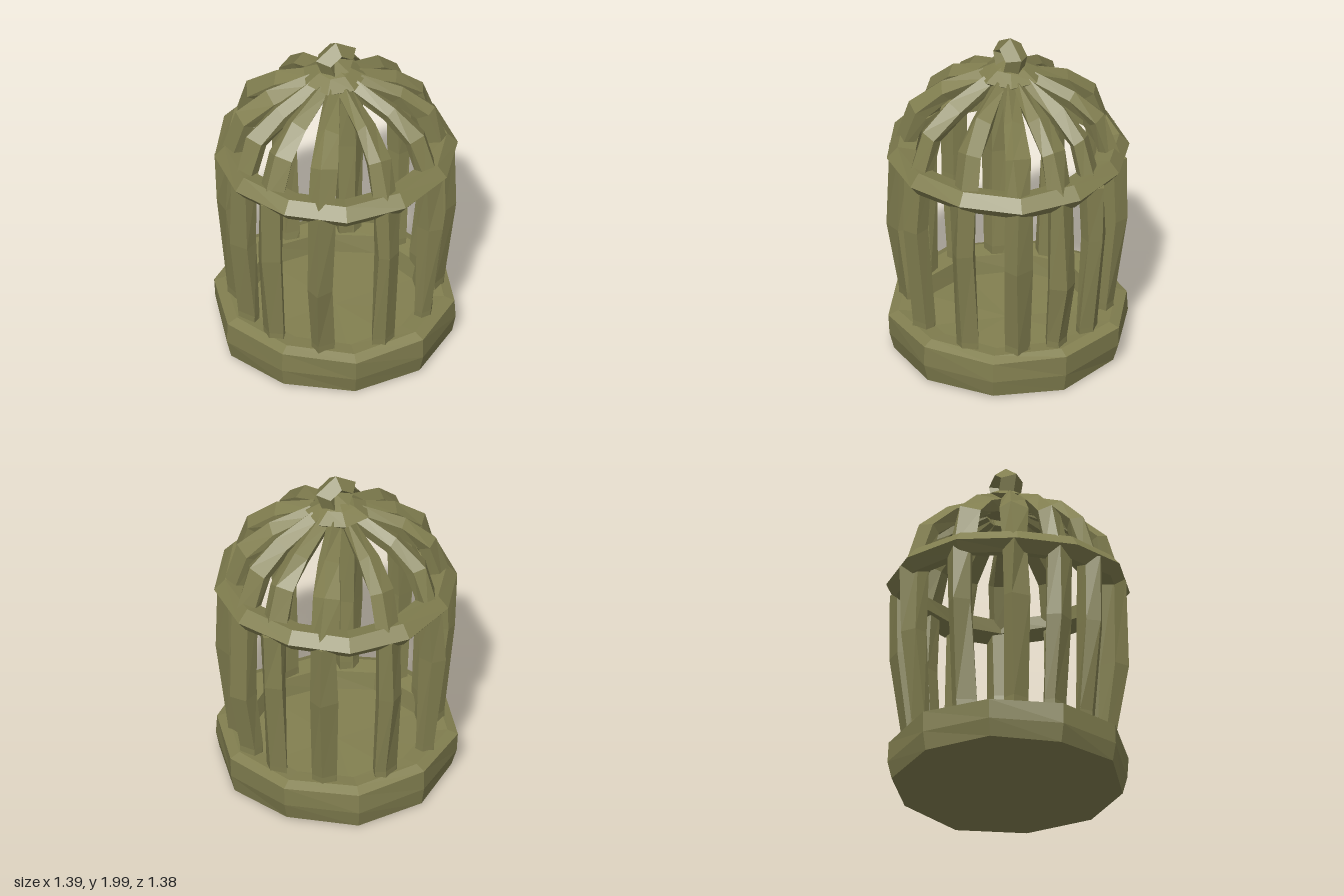
import * as THREE from 'three';

const material = new THREE.MeshStandardMaterial({ color: 0x827f50, flatShading: true, side: THREE.DoubleSide });

// small seeded generator for the hand-hewn irregularity
let seed = 7;
const wobble = (amount) => {
  seed = (seed * 16807) % 2147483647;
  return (seed / 2147483647 - 0.5) * 2 * amount;
};

// five-sided section with an outer ridge: u points outward from the cage, v runs sideways
const SECTION = [[0.5, 0.1], [0.1, 0.5], [-0.45, 0.3], [-0.45, -0.3], [0.1, -0.5]];

// path entries: [radius, y, outward normal r, outward normal y, depth, width]
function strut(path, jitter) {
  const n = SECTION.length;
  const positions = [];
  const index = [];
  path.forEach(([r, y, nr, ny, depth, width]) => {
    const len = Math.hypot(nr, ny);
    for (const [u, v] of SECTION) {
      const d = (u * depth) / len;
      positions.push(r + nr * d + wobble(jitter), y + ny * d, v * width + wobble(jitter));
    }
  });
  for (let i = 0; i < path.length - 1; i++) {
    for (let j = 0; j < n; j++) {
      const a = i * n + j, b = i * n + (j + 1) % n;
      index.push(a, a + n, b, b, a + n, b + n);
    }
  }
  // closed ends
  const last = (path.length - 1) * n;
  for (let j = 1; j < n - 1; j++) {
    index.push(0, j, j + 1, last, last + j + 1, last + j);
  }
  const geometry = new THREE.BufferGeometry();
  geometry.setAttribute('position', new THREE.Float32BufferAttribute(positions, 3));
  geometry.setIndex(index);
  geometry.computeVertexNormals();
  return geometry;
}

// faceted ring or dish, made slightly uneven by a rule that repeats around the circle
function unevenLathe(profile, sides, spread, lift, turn) {
  const geometry = new THREE.LatheGeometry(profile.map(([r, y]) => new THREE.Vector2(r, y)), sides);
  const p = geometry.attributes.position;
  for (let i = 0; i < p.count; i++) {
    const x = p.getX(i), y = p.getY(i), z = p.getZ(i);
    const a = Math.atan2(x, z);
    const k = 1 + spread * Math.sin(3 * a + 9 * y);
    const edge = Math.hypot(x, z) > 0.3 ? lift : 0;
    p.setXYZ(i, x * k, y + edge * Math.sin(4 * a + 5 * y), z * k);
  }
  geometry.rotateY(turn);
  geometry.computeVertexNormals();
  return geometry;
}

export function createModel() {
  const group = new THREE.Group();
  const add = (name, geometry) => {
    const mesh = new THREE.Mesh(geometry, material);
    mesh.name = name;
    group.add(mesh);
    return mesh;
  };

  // dished floor with a thick, nearly straight rim
  add('base', unevenLathe(
    [[0, 0.01], [0.665, 0.015], [0.69, 0.12], [0.69, 0.24], [0.63, 0.265], [0.52, 0.25], [0.5, 0.14], [0, 0.14]],
    10, 0.01, 0.01, 0.3));

  // band joining the bars to the dome
  add('middleRing', unevenLathe(
    [[0.53, 1.22], [0.64, 1.19], [0.695, 1.255], [0.635, 1.325], [0.53, 1.3], [0.53, 1.22]],
    12, 0.008, 0.01, 0.12));

  // twelve upright bars, each continued by a dome rib
  const angles = [];
  for (let quarter = 0; quarter < 4; quarter++) {
    const side = quarter % 2 ? [0, 36, 66] : [0, 24, 54];
    side.forEach((a) => angles.push(quarter * 90 + a));
  }
  for (const degrees of angles) {
    const turn = THREE.MathUtils.degToRad(degrees);
    const bar = add('bar', strut([
      [0.555, 0.08, 1, 0, 0.11, 0.14],
      [0.56, 0.3, 1, 0, 0.11, 0.14],
      [0.61, 0.8 + wobble(0.12), 1, 0, 0.15, 0.15],
      [0.605, 1.25, 1, 0, 0.145, 0.15],
    ], 0.011));
    bar.rotation.y = turn;

    const rib = add('domeRib', strut([
      [0.59, 1.25, 0.95, 0.25, 0.12, 0.15],
      [0.51, 1.5, 0.85, 0.55, 0.12, 0.15],
      [0.355, 1.63, 0.55, 0.85, 0.12, 0.125],
      [0.13, 1.732, 0.3, 0.95, 0.11, 0.08],
    ], 0.01));
    rib.rotation.y = turn;
  }

  // solid crown capping the ribs where they meet
  const crown = add('crown', unevenLathe(
    [[0, 1.72], [0.13, 1.72], [0.185, 1.765], [0.1, 1.815], [0.04, 1.835], [0, 1.835]],
    7, 0.03, 0, 0.2));
  crown.position.z = -0.015;

  // thick hanging loop on top
  const loopGeometry = new THREE.TorusGeometry(0.07, 0.054, 4, 5);
  loopGeometry.rotateZ(Math.PI / 2);
  loopGeometry.scale(1.1, 1, 1.3);
  const loop = add('hangingLoop', loopGeometry);
  loop.position.set(0.01, 1.876, -0.01);

  return group;
}
